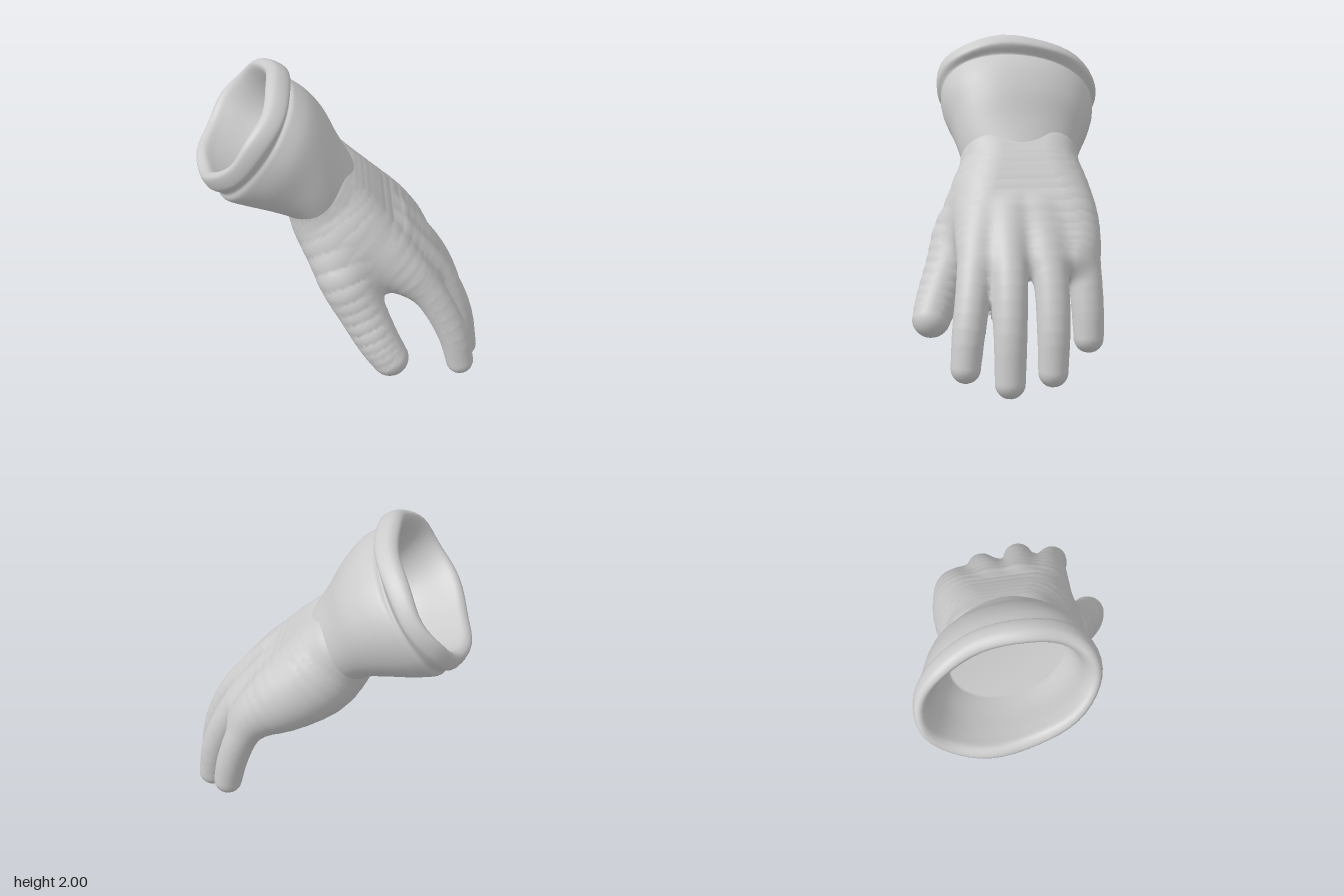
import * as THREE from 'three';
import { mergeVertices } from 'three/addons/utils/BufferGeometryUtils.js';

const V = (x, y, z) => new THREE.Vector3(x, y, z);
const spline = points => new THREE.CatmullRomCurve3(points, false, 'catmullrom', 0.5);
const softPow = (v, p) => Math.sign(v) * Math.abs(v) ** p;
const SIDES = 48;

function addPart(group, name, geometry) {
  const material = new THREE.MeshStandardMaterial({ color: 0xcccccc, side: THREE.DoubleSide });
  const mesh = new THREE.Mesh(geometry, material);
  mesh.name = name;
  group.add(mesh);
}

// Cuff sections, from the lining floor out over the rolled rim and down to the wrist:
// [backX, backY, palmX, palmY, zMax, zMin, roundness, tilt, wave]
const CUFF = [
  [-0.15, 1.60, -0.48, 1.23, 0.24, -0.42, 1, 0.03, 0],
  [-0.27, 1.73, -0.61, 1.29, 0.29, -0.50, 1, 0.04, 0],
  [-0.40, 1.89, -0.75, 1.37, 0.32, -0.56, 1, 0.06, 0.003],
  [-0.43, 1.965, -0.82, 1.405, 0.36, -0.60, 1, 0.07, 0.008],
  [-0.37, 1.995, -0.87, 1.37, 0.40, -0.64, 1, 0.07, 0.008],
  [-0.295, 1.95, -0.835, 1.30, 0.41, -0.65, 0.97, 0.07, 0.006],
  [-0.31, 1.88, -0.77, 1.27, 0.385, -0.61, 0.95, 0.07, 0],
  [-0.27, 1.87, -0.74, 1.225, 0.39, -0.61, 0.93, 0.06, 0],
  [-0.18, 1.80, -0.62, 1.19, 0.38, -0.585, 0.92, 0.05, 0],
  [-0.09, 1.68, -0.46, 1.15, 0.345, -0.53, 0.92, 0.03, 0],
  [-0.01, 1.52, -0.33, 1.10, 0.315, -0.46, 0.95, 0.02, 0],
  [0.09, 1.345, -0.22, 0.97, 0.27, -0.38, 1, 0, 0],
];

function cuffGeometry() {
  const tracks = [0, 3, 6].map(k => spline(CUFF.map(s => V(...(k === 0 ? [s[0], s[1], 0]
    : k === 3 ? [s[2], s[3], s[6]] : [s[4], s[5], s[7]])))));
  const wave = spline(CUFF.map(s => V(s[8], 0, 0)));
  const steps = 88, pos = [], index = [];
  const floor = V(-0.315, 1.415, -0.09);
  for (let j = 0; j < SIDES; j++) pos.push(...floor.toArray());
  for (let i = 0; i <= steps; i++) {
    const [back, palm, width] = tracks.map(t => t.getPoint(i / steps));
    const round = palm.z;
    palm.z = 0;
    const mid = back.clone().add(palm).multiplyScalar(0.5);
    const up = back.clone().sub(mid);
    const axis = V(-up.y, up.x, 0).normalize();
    const tilt = width.z / up.length();
    const ripple = wave.getPoint(i / steps).x;
    for (let j = 0; j < SIDES; j++) {
      const a = j / SIDES * Math.PI * 2;
      const c = softPow(Math.cos(a), round), s = softPow(Math.sin(a), round);
      const p = mid.clone().addScaledVector(up, c + tilt * s).addScaledVector(axis, ripple * Math.sin(6 * a));
      pos.push(p.x, p.y, (width.x + width.y) / 2 + s * (width.x - width.y) / 2);
    }
  }
  for (let i = 0; i <= steps; i++) {
    for (let j = 0; j < SIDES; j++) {
      const a = i * SIDES + j, b = i * SIDES + (j + 1) % SIDES;
      index.push(a, b, a + SIDES, b, b + SIDES, a + SIDES);
    }
  }
  const geo = new THREE.BufferGeometry();
  geo.setAttribute('position', new THREE.Float32BufferAttribute(pos, 3));
  geo.setIndex(index);
  geo.computeVertexNormals();
  return geo;
}

// A limb of the hand: rounded chain through [x, y, zLow, zHigh, radius]; blend softens its joint
function limb(name, blend, points) {
  const line = spline(points.map(p => V(p[0], p[1], p[4])));
  const depth = spline(points.map(p => V(p[2], p[3], 0)));
  const n = (points.length - 1) * 3;
  const chain = Array.from({ length: n + 1 }, (_, i) => {
    const a = line.getPoint(i / n), b = depth.getPoint(i / n);
    return [a.x, a.y, b.x, b.y, a.z];
  });
  return { name, blend, chain };
}
const digit = (name, blend, points) => limb(name, blend, points.map(([x, y, z, r]) => [x, y, z, z, r]));

const LIMBS = [
  limb('palm', 0, [[-0.12, 1.24, -0.20, 0.08, 0.225], [-0.06, 1.15, -0.18, 0.07, 0.255],
    [0.04, 1.03, -0.21, 0.12, 0.262], [0.22, 0.895, -0.27, 0.18, 0.215],
    [0.37, 0.79, -0.30, 0.235, 0.15], [0.46, 0.72, -0.27, 0.24, 0.11]]),
  digit('indexFinger', 0.06, [[0.27, 0.94, 0.24, 0.11], [0.43, 0.78, 0.285, 0.106], [0.57, 0.60, 0.32, 0.1],
    [0.68, 0.38, 0.36, 0.095], [0.73, 0.175, 0.385, 0.086]]),
  digit('middleFinger', 0.06, [[0.33, 0.96, 0.08, 0.11], [0.49, 0.79, 0.105, 0.106], [0.63, 0.60, 0.115, 0.1],
    [0.73, 0.36, 0.13, 0.095], [0.782, 0.09, 0.14, 0.087]]),
  digit('ringFinger', 0.06, [[0.32, 0.95, -0.09, 0.11], [0.48, 0.78, -0.115, 0.106], [0.60, 0.59, -0.13, 0.1],
    [0.69, 0.36, -0.125, 0.095], [0.733, 0.13, -0.115, 0.086]]),
  digit('littleFinger', 0.06, [[0.22, 0.96, -0.30, 0.12], [0.37, 0.80, -0.335, 0.11], [0.475, 0.62, -0.35, 0.1],
    [0.54, 0.43, -0.355, 0.094], [0.572, 0.278, -0.355, 0.088]]),
  digit('thumb', 0.09, [[-0.08, 1.06, 0.12, 0.19], [0.00, 0.84, 0.31, 0.17], [0.10, 0.64, 0.40, 0.148],
    [0.20, 0.46, 0.485, 0.13], [0.275, 0.352, 0.535, 0.115]]),
];

function limbDistance(chain, x, y, z) {
  let best = Infinity;
  for (let i = 0; i < chain.length - 1; i++) {
    const a = chain[i], b = chain[i + 1];
    const ex = b[0] - a[0], ey = b[1] - a[1];
    const t = Math.min(1, Math.max(0, ((x - a[0]) * ex + (y - a[1]) * ey) / (ex * ex + ey * ey)));
    const mix = k => a[k] + (b[k] - a[k]) * t;
    const dx = x - mix(0), dy = y - mix(1), dz = z - Math.min(mix(3), Math.max(mix(2), z));
    best = Math.min(best, Math.sqrt(dx * dx + dy * dy + dz * dz) - mix(4));
  }
  return best;
}

// Smooth union of all limbs
function handDistance(x, y, z) {
  let d = Infinity;
  for (const { chain, blend } of LIMBS) {
    const e = limbDistance(chain, x, y, z);
    const h = blend ? Math.max(0, blend - Math.abs(d - e)) : 0;
    d = Math.min(d, e) - (h ? h * h / (4 * blend) : 0);
  }
  return d;
}

function slope(x, y, z) {
  const e = 0.004, f = handDistance;
  return V(f(x + e, y, z) - f(x - e, y, z), f(x, y + e, z) - f(x, y - e, z),
    f(x, y, z + e) - f(x, y, z - e)).normalize();
}

// Skin the blended hand with a net of quads, split into one mesh per limb
function addHand(group) {
  const h = 0.024, low = [-0.46, -0.06, -0.62], size = [58, 68, 60];
  const step = [1, size[0], size[0] * size[1]];
  const at = (i, j, k) => [low[0] + i * h, low[1] + j * h, low[2] + k * h];
  const field = new Float32Array(size[0] * size[1] * size[2]);
  const eachCell = fn => {
    for (let k = 0; k < size[2]; k++) for (let j = 0; j < size[1]; j++) for (let i = 0; i < size[0]; i++) {
      fn([i, j, k], i + j * step[1] + k * step[2]);
    }
  };
  eachCell((c, id) => { field[id] = handDistance(...at(...c)); });

  // One vertex per crossed cell, settled onto the surface
  const pos = [], normal = [], owner = [], vertex = new Map();
  eachCell((c, id) => {
    if (c.some((v, a) => v >= size[a] - 1)) return;
    const corners = [0, 1, 2, 3, 4, 5, 6, 7].map(b => field[id + (b & 1) + (b >> 1 & 1) * step[1] + (b >> 2) * step[2]] < 0);
    if (corners.every(v => v === corners[0])) return;
    const p = V(...at(...c.map(v => v + 0.5)));
    for (let n = 0; n < 3; n++) p.addScaledVector(slope(p.x, p.y, p.z), -0.8 * handDistance(p.x, p.y, p.z));
    vertex.set(id, owner.length);
    pos.push(p.x, p.y, p.z);
    normal.push(...slope(p.x, p.y, p.z).toArray());
    const near = LIMBS.map(l => limbDistance(l.chain, p.x, p.y, p.z));
    owner.push(near.indexOf(Math.min(...near)));
  });

  // One quad around each crossed grid edge
  const faces = LIMBS.map(() => []);
  eachCell((c, id) => {
    for (let a = 0; a < 3; a++) {
      if (c[a] >= size[a] - 1 || field[id] < 0 === field[id + step[a]] < 0) continue;
      const u = step[(a + 1) % 3], v = step[(a + 2) % 3];
      const q = [id, id - u, id - u - v, id - v].map(n => vertex.get(n));
      if (field[id] >= 0) q.reverse();
      faces[owner[q[0]]].push(q[0], q[1], q[2], q[0], q[2], q[3]);
    }
  });
  LIMBS.forEach(({ name }, n) => {
    const geo = new THREE.BufferGeometry();
    geo.setAttribute('position', new THREE.Float32BufferAttribute(pos, 3));
    geo.setAttribute('normal', new THREE.Float32BufferAttribute(normal, 3));
    geo.setIndex(faces[n]);
    addPart(group, name, mergeVertices(geo.toNonIndexed()));
  });
}

export function createModel() {
  const glove = new THREE.Group();
  glove.name = 'glove';
  addPart(glove, 'cuff', cuffGeometry());
  addHand(glove);
  return glove;
}
